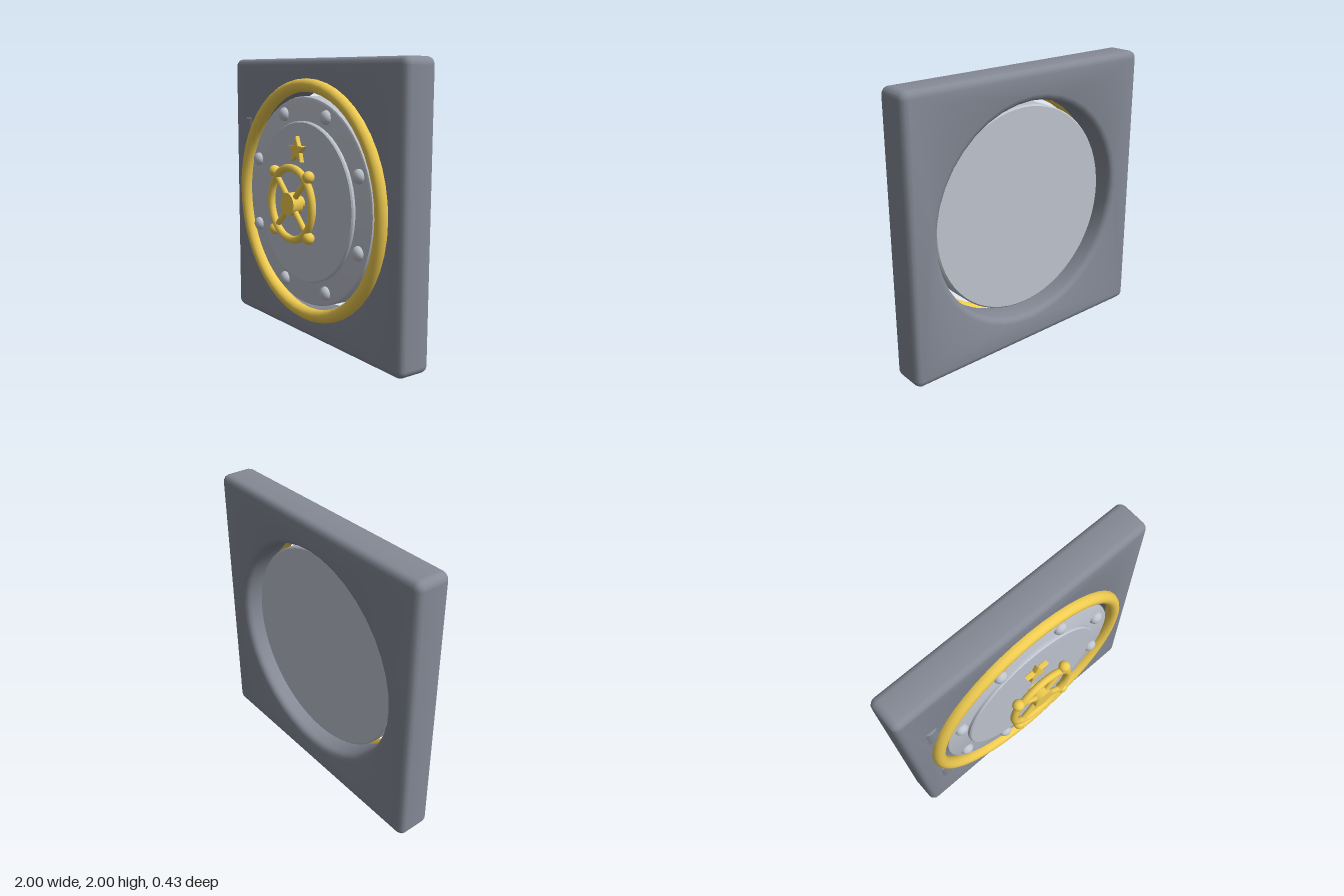
import * as THREE from 'three';
import { toCreasedNormals } from 'three/addons/utils/BufferGeometryUtils.js';

const steel = new THREE.MeshStandardMaterial({ color: 0x858a96 });
const silver = new THREE.MeshStandardMaterial({ color: 0xbfc4cf });
const gold = new THREE.MeshStandardMaterial({ color: 0xf0cc50 });

export function createModel() {
  const root = new THREE.Group();
  root.name = 'vaultDoor';

  const add = (name, geometry, material, x = 0, y = 1, z = 0) => {
    const mesh = new THREE.Mesh(geometry, material);
    mesh.name = name;
    mesh.position.set(x, y, z);
    root.add(mesh);
    return mesh;
  };
  // Disc facing +z, turned from a profile of [radius, z] points
  const turned = (points, segments = 64) => {
    const geometry = new THREE.LatheGeometry(points.map(([r, z]) => new THREE.Vector2(r, z)), segments);
    return toCreasedNormals(geometry.rotateX(Math.PI / 2), 0.6);
  };

  // Square wall with rounded edges and a round opening
  const h = 0.955, c = 0.01;
  const wall = new THREE.Shape();
  wall.absarc(h - c, h - c, c, 0, Math.PI / 2);
  wall.absarc(-h + c, h - c, c, Math.PI / 2, Math.PI);
  wall.absarc(-h + c, -h + c, c, Math.PI, Math.PI * 1.5);
  wall.absarc(h - c, -h + c, c, Math.PI * 1.5, Math.PI * 2);
  wall.closePath();
  wall.holes.push(new THREE.Path().absarc(0, 0, 0.83, 0, Math.PI * 2, true));
  const wallGeometry = new THREE.ExtrudeGeometry(wall, {
    depth: 0.16, bevelThickness: 0.045, bevelSize: 0.045, bevelSegments: 3, curveSegments: 20,
  });
  add('wallFrame', toCreasedNormals(wallGeometry, 0.6), steel, 0, 1, -0.175);

  // Gold trim around the opening
  add('doorRing', new THREE.TorusGeometry(0.816, 0.046, 14, 48), gold, 0, 1, 0.04).scale.z = 1.1;

  // Hinge barrels half sunk into the wall
  for (const y of [0.555, 1.455]) {
    const r = 0.07;
    const profile = [[0, -0.1], [r - 0.008, -0.1], [r, -0.092], [r, 0.092], [r - 0.008, 0.1], [0, 0.1]];
    const hinge = new THREE.LatheGeometry(profile.map(([a, b]) => new THREE.Vector2(a, b)), 24);
    add('hinge', toCreasedNormals(hinge, 0.6), steel, -0.797, y, -0.026);
  }

  // Door slab and raised centre panel
  add('doorSlab', turned([[0, -0.12], [0.73, -0.12], [0.74, -0.11], [0.74, 0.035],
    [0.735, 0.048], [0.72, 0.055], [0, 0.055]]), silver);
  add('doorPanel', turned([[0.57, 0.04], [0.57, 0.072], [0.562, 0.082], [0, 0.085]]), silver);

  // Ring of rivets
  for (let i = 0; i < 8; i++) {
    const a = (i + 0.5) * Math.PI / 4;
    add('rivet', new THREE.SphereGeometry(0.05, 20, 12), silver,
      0.655 * Math.cos(a), 1 + 0.655 * Math.sin(a), 0.055).scale.z = 0.84;
  }

  // Star ornament
  const star = new THREE.Shape();
  for (let i = 0; i < 10; i++) {
    const a = Math.PI / 2 + i * Math.PI / 5, r = i % 2 ? 0.038 : 0.09;
    star[i ? 'lineTo' : 'moveTo'](r * Math.cos(a), r * Math.sin(a));
  }
  star.closePath();
  add('star', new THREE.ExtrudeGeometry(star, {
    depth: 0.019, bevelThickness: 0.008, bevelSize: 0.006, bevelSegments: 2,
  }), gold, 0, 1.37, 0.108);

  // Hand wheel: rim, hub, shaft, spokes and knobs
  const wheelZ = 0.172;
  add('wheelRim', new THREE.TorusGeometry(0.252, 0.027, 12, 48), gold, 0, 1, wheelZ);
  add('wheelHub', turned([[0, 0.125], [0.08, 0.125], [0.08, 0.207], [0, 0.207]], 32), gold);
  add('wheelShaft', turned([[0.045, 0.08], [0.045, 0.13]], 24), gold);
  for (let i = 0; i < 4; i++) {
    const a = (i + 0.5) * Math.PI / 2, x = Math.cos(a), y = Math.sin(a);
    add('spoke', new THREE.CylinderGeometry(0.021, 0.021, 0.27, 12), gold,
      0.155 * x, 1 + 0.155 * y, wheelZ).rotation.z = a - Math.PI / 2;
    add('knob', new THREE.SphereGeometry(0.042, 20, 14), gold, 0.296 * x, 1 + 0.296 * y, wheelZ);
  }
  return root;
}
